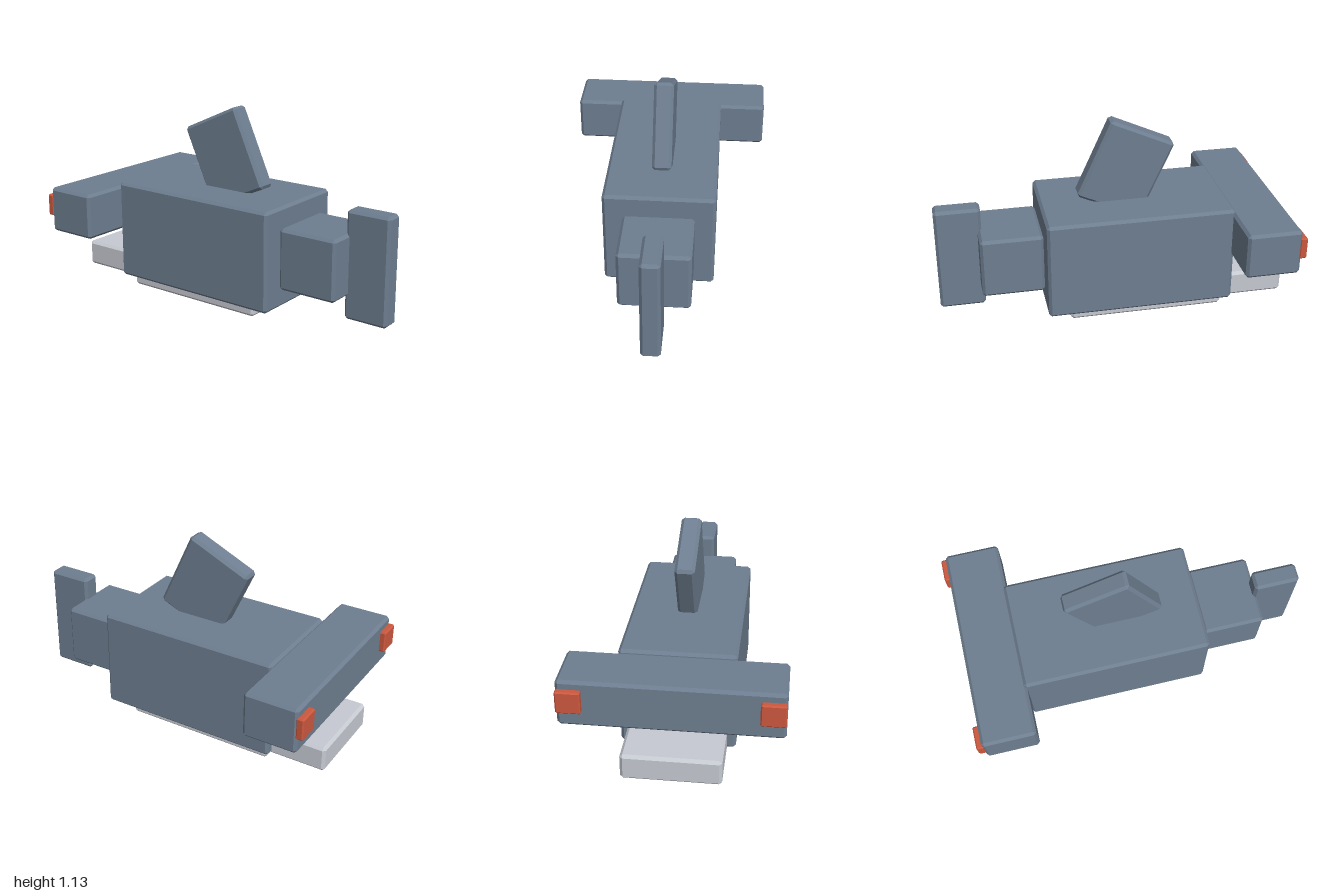
import * as THREE from 'three';
import { ConvexGeometry } from 'three/addons/geometries/ConvexGeometry.js';

// Box with every edge cut by a single flat chamfer
function chamferBox(w, h, d, c) {
  const pts = [];
  for (const sx of [-1, 1]) for (const sy of [-1, 1]) for (const sz of [-1, 1]) {
    const x = w / 2, y = h / 2, z = d / 2;
    pts.push(new THREE.Vector3(sx * x, sy * (y - c), sz * (z - c)));
    pts.push(new THREE.Vector3(sx * (x - c), sy * y, sz * (z - c)));
    pts.push(new THREE.Vector3(sx * (x - c), sy * (y - c), sz * z));
  }
  return new ConvexGeometry(pts);
}

export function createModel() {
  const group = new THREE.Group();
  const material = (name, color) => {
    const m = new THREE.MeshStandardMaterial({ color });
    m.name = name;
    return m;
  };
  const slate = material('slate blue', 0x6e7e90);
  const silver = material('light grey', 0xc6cad2);
  const red = material('signal red', 0xcc583e);

  // Adds a block spanning the given x, y and z ranges
  function block(name, mat, [x0, x1], [y0, y1], [z0, z1], c = 0.016) {
    const mesh = new THREE.Mesh(chamferBox(x1 - x0, y1 - y0, z1 - z0, c), mat);
    mesh.name = name;
    mesh.position.set((x0 + x1) / 2, (y0 + y1) / 2, (z0 + z1) / 2);
    group.add(mesh);
    return mesh;
  }

  // Main hull and nose
  block('body', slate, [-0.313, 0.313], [0.072, 0.651], [-0.673, 0.4]);
  block('nose', slate, [-0.2, 0.2], [0.185, 0.539], [0.405, 0.761]);
  block('frontBlade', slate, [-0.055, 0.055], [0.05, 0.672], [0.737, 1]);

  // Rear crossbar and lamps
  block('rearCrossbar', slate, [-0.583, 0.583], [0.364, 0.629], [-0.968, -0.657]);
  for (const s of [-1, 1]) {
    const x = [s * 0.45, s * 0.58].sort((a, b) => a - b);
    block(s > 0 ? 'leftLamp' : 'rightLamp', red, x, [0.456, 0.582], [-1, -0.957], 0.007);
  }

  // Underside plates
  block('bellyPlate', silver, [-0.247, 0.247], [0, 0.1], [-0.63, 0.265]);
  block('rearStep', silver, [-0.266, 0.266], [0.063, 0.212], [-0.99, -0.64]);

  // Raked top fin
  const fin = block('topFin', slate, [-0.055, 0.055], [0.587, 1.077], [-0.294, 0.106]);
  fin.rotation.x = -0.425;

  return group;
}
